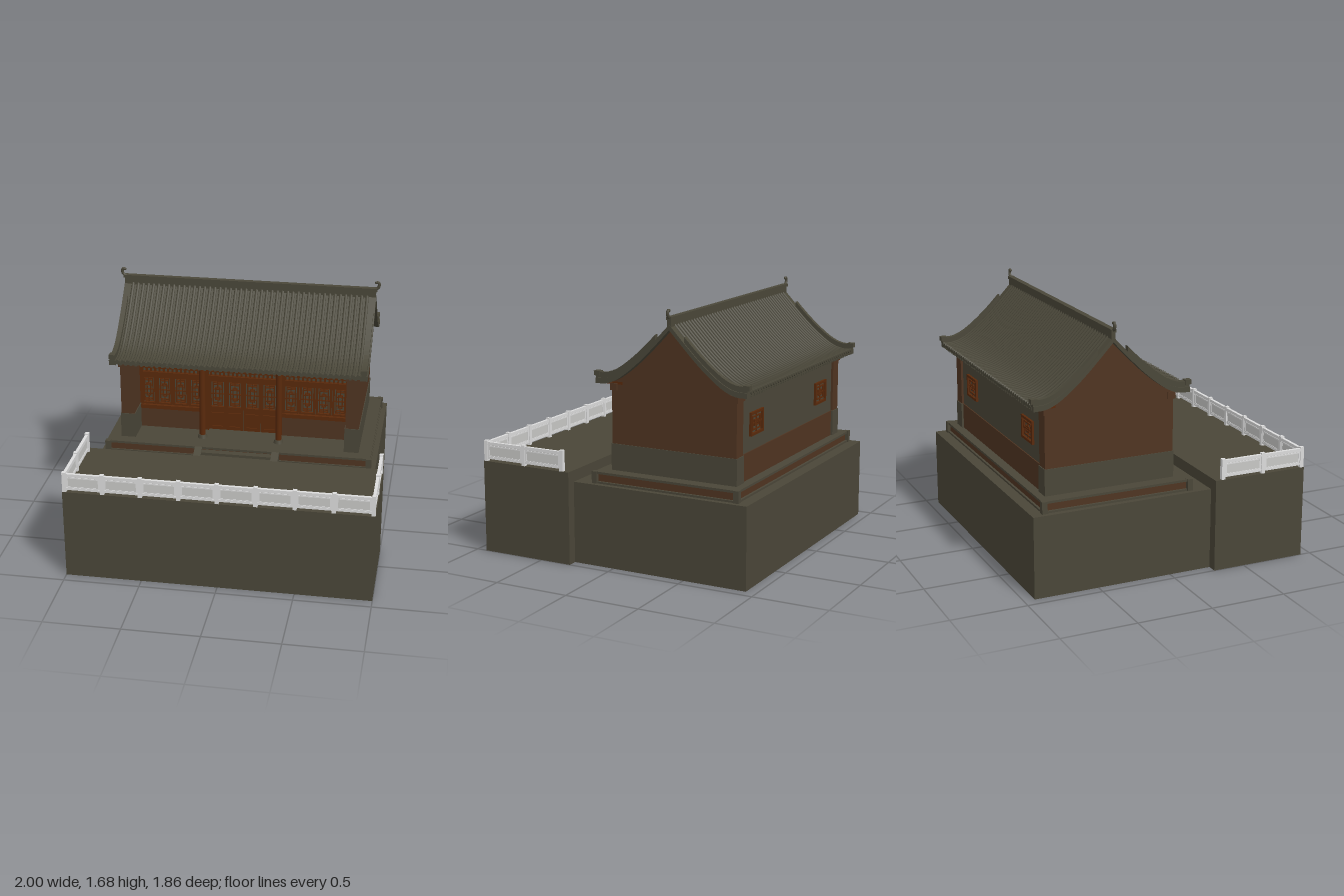
import * as THREE from 'three';

const material = (name, color, extra) => Object.assign(new THREE.MeshStandardMaterial({ color, ...extra }), { name });

export function createModel() {
  const root = new THREE.Group();
  root.name = 'courtyardHall';
  const stone = material('olive grey stone', 0x4a4638);
  const tile = material('grey roof tile', 0x4a4739);
  const clay = material('brown wall', 0x4f3421);
  const wood = material('red brown wood', 0x59290b);
  const marble = material('white marble', 0xdcdcdc);
  const marblePanel = material('pale marble panel', 0xc8c8c6);

  const group = (name, parent = root) => {
    const g = new THREE.Group();
    g.name = name;
    parent.add(g);
    return g;
  };
  const add = (parent, name, geo, mat) => {
    const m = new THREE.Mesh(geo, mat);
    m.name = name;
    parent.add(m);
    return m;
  };
  // Box given by its two extremes on each axis
  const box = (parent, name, mat, x0, x1, y0, y1, z0, z1) =>
    add(parent, name, new THREE.BoxGeometry(x1 - x0, y1 - y0, z1 - z0), mat)
      .position.set((x0 + x1) / 2, (y0 + y1) / 2, (z0 + z1) / 2);
  // Side profile of [z, y] points extruded from x0 to x1
  const sideProfile = (parent, name, mat, pts, x0, x1) => {
    const shape = new THREE.Shape(pts.map(p => new THREE.Vector2(p[0], p[1])));
    const geo = new THREE.ExtrudeGeometry(shape, { depth: x1 - x0, bevelEnabled: false });
    geo.rotateY(-Math.PI / 2).translate(x1, 0, 0);
    return add(parent, name, geo, mat);
  };

  // Lower masses
  box(root, 'frontTerrace', stone, -1, 1, 0, 0.61, 0.285, 0.93);
  box(root, 'rearBase', stone, -0.935, 0.935, 0, 0.535, -0.93, 0.285);

  // Plinth with cornerposts and capping slab
  const plinth = group('plinth');
  box(plinth, 'plinthSill', stone, -0.9, 0.9, 0.535, 0.548, -0.855, 0.15);
  box(plinth, 'plinthCore', clay, -0.885, 0.885, 0.54, 0.6, -0.84, 0.14);
  box(plinth, 'plinthSlab', stone, -0.9, 0.9, 0.597, 0.612, -0.855, 0.155);
  for (const x of [-0.89, 0.89]) for (const z of [-0.843, 0.15])
    box(plinth, 'plinthPost', stone, x - 0.018, x + 0.018, 0.535, 0.613, z - 0.018, z + 0.018);

  // Steps between sloping cheeks
  const steps = group('steps');
  for (let i = 0; i < 3; i++)
    box(steps, 'step', stone, -0.24, 0.24, 0.535, 0.592 - i * 0.019, 0.15, 0.198 + i * 0.043);
  for (const x of [-0.262, 0.262])
    sideProfile(steps, 'stepCheek', stone, [[0.15, 0.535], [0.285, 0.535], [0.285, 0.545], [0.155, 0.613], [0.15, 0.613]], x - 0.025, x + 0.025);

  // Balustrade: one bay runs along local +x from the origin
  const balustrade = group('balustrade');
  const railBay = (x, z, len, turn) => {
    const g = group('railBay', balustrade);
    g.position.set(x, 0.61, z);
    g.rotation.y = turn;
    box(g, 'topRail', marble, 0, len, 0.108, 0.128, -0.01, 0.01);
    box(g, 'bottomRail', marble, 0, len, 0.015, 0.03, -0.009, 0.009);
    box(g, 'railPanel', marblePanel, 0.01, len - 0.01, 0.028, 0.11, -0.004, 0.004);
    for (const s of [0.018, len - 0.018]) box(g, 'panelStile', marble, s - 0.007, s + 0.007, 0.028, 0.11, -0.007, 0.007);
    for (const y of [0.033, 0.1]) box(g, 'panelEdge', marble, 0.02, len - 0.02, y - 0.004, y + 0.004, -0.007, 0.007);
  };
  const railPost = (x, z) => box(balustrade, 'railPost', marble, x - 0.013, x + 0.013, 0.61, 0.747, z - 0.013, z + 0.013);
  const bay = 1.97 / 8;
  for (let i = 0; i <= 8; i++) {
    railPost(-0.985 + i * bay, 0.915);
    if (i < 8) railBay(-0.985 + i * bay, 0.915, bay, 0);
  }
  for (const x of [-0.985, 0.985]) for (const z of [0.915, 0.6275]) {
    railPost(x, z - 0.2875);
    railBay(x, z, 0.2875, Math.PI / 2);
  }

  // Roof curve: height by distance from the ridge line
  const ridgeZ = -0.365;
  const slope = [[0, 1.57], [0.1, 1.465], [0.2, 1.365], [0.3, 1.28], [0.38, 1.226], [0.45, 1.2], [0.525, 1.197]];
  const curve = new THREE.CatmullRomCurve3(slope.map(([d, y]) => new THREE.Vector3(0, y, d)));
  const samples = curve.getPoints(18);
  // Strip following the slope between two heights above the curve
  const slopeBand = (lo, hi, from = 0, to = 0.53) => {
    const pts = samples.filter(p => p.z >= from && p.z <= to);
    return [...pts.map(p => [p.z, p.y + lo]), ...pts.reverse().map(p => [p.z, p.y + hi])];
  };

  // Gable side walls with stone base and pier caps
  const walls = group('walls');
  const wallTop = samples.filter(p => p.z < 0.42).map(p => [p.z, p.y - 0.012]);
  const gable = [
    [-0.8, 0.78], [0.07, 0.78], [0.07, 1.185],
    ...wallTop.slice().reverse().map(([d, y]) => [ridgeZ + d, y]),
    ...wallTop.slice(1).map(([d, y]) => [ridgeZ - d, y]), [-0.8, 1.185],
  ];
  for (const s of [-1, 1]) {
    const span = (a, b) => [Math.min(s * a, s * b), Math.max(s * a, s * b)];
    sideProfile(walls, 'gableWall', clay, gable, ...span(0.72, 0.81));
    box(walls, 'gableBase', stone, ...span(0.715, 0.815), 0.61, 0.785, -0.805, 0.075);
    for (const z of [0.055, -0.785]) {
      box(walls, 'pierCap', clay, ...span(0.712, 0.82), 1.13, 1.175, z - 0.025, z + 0.025);
    }
  }

  // Rear wall with two lattice windows
  box(walls, 'rearWall', stone, -0.73, 0.73, 0.78, 1.2, -0.785, -0.74);
  box(walls, 'rearDado', clay, -0.73, 0.73, 0.61, 0.785, -0.792, -0.74);

  // Rectangular outline of thin bars
  const frame = (parent, name, mat, cx, cy, w, h, t, z0, z1) => {
    for (const s of [-1, 1]) {
      const x = cx + s * (w - t) / 2, y = cy + s * (h - t) / 2;
      box(parent, name, mat, x - t / 2, x + t / 2, cy - h / 2, cy + h / 2, z0, z1);
      box(parent, name, mat, cx - w / 2, cx + w / 2, y - t / 2, y + t / 2, z0, z1);
    }
  };
  for (const x of [-0.51, 0.51]) {
    const win = group('rearWindow', walls);
    frame(win, 'windowFrame', wood, x, 0.955, 0.185, 0.15, 0.016, -0.8, -0.78);
    frame(win, 'windowLattice', wood, x, 0.955, 0.12, 0.09, 0.009, -0.794, -0.78);
    frame(win, 'windowLattice', wood, x, 0.955, 0.06, 0.04, 0.009, -0.794, -0.78);
    box(win, 'windowBar', wood, x - 0.085, x + 0.085, 0.951, 0.959, -0.793, -0.78);
    box(win, 'windowBar', wood, x - 0.004, x + 0.004, 0.885, 1.025, -0.793, -0.78);
  }

  // Recessed timber front: three bays of lattice panels
  const front = group('timberFront');
  box(front, 'frontBacking', stone, -0.72, 0.72, 0.61, 1.28, -0.17, -0.145);
  const latticePanel = (x, y0, y1, w) => {
    const g = group('latticePanel', front);
    const cy = (y0 + y1) / 2, h = y1 - y0;
    frame(g, 'panelFrame', wood, x, cy, w, h, 0.014, -0.15, -0.125);
    frame(g, 'latticeRing', wood, x, cy, w * 0.6, h * 0.8, 0.007, -0.147, -0.132);
    frame(g, 'latticeRing', wood, x, cy, w * 0.3, h * 0.45, 0.007, -0.147, -0.132);
    for (const k of [-0.32, -0.15, 0, 0.15, 0.32])
      box(g, 'latticeBar', wood, x - w * (k ? 0.3 : 0.45), x + w * (k ? 0.3 : 0.45), cy + k * h - 0.003, cy + k * h + 0.003, -0.147, -0.133);
    for (const s of [-1, 1])
      box(g, 'latticeBar', wood, x - 0.003, x + 0.003, cy + s * h * 0.35 - h * 0.13, cy + s * h * 0.35 + h * 0.13, -0.147, -0.133);
  };
  for (const cx of [-0.495, 0, 0.495]) {
    const half = cx ? 0.225 : 0.24, w = half / 2;
    for (let i = 0; i < 4; i++) {
      const x = cx - half + w * (i + 0.5);
      latticePanel(x, 0.775, 0.99, w - 0.004);
      if (!cx) {
        box(front, 'doorPanel', wood, x - w / 2 + 0.002, x + w / 2 - 0.002, 0.615, 0.775, -0.15, -0.13);
        frame(front, 'doorMoulding', wood, x, 0.69, w - 0.03, 0.11, 0.008, -0.14, -0.122);
      }
    }
    if (cx) {
      box(front, 'windowDado', clay, cx - half, cx + half, 0.61, 0.755, -0.15, -0.11);
      box(front, 'windowSill', wood, cx - half, cx + half, 0.75, 0.777, -0.15, -0.105);
    }
    // Transom grid under a stepped crest
    box(front, 'transomRail', wood, cx - half, cx + half, 0.99, 1.02, -0.15, -0.12);
    box(front, 'transomRail', wood, cx - half, cx + half, 1.045, 1.055, -0.15, -0.125);
    for (let x = -half + 0.015; x < half; x += 0.03)
      box(front, 'transomBar', wood, cx + x - 0.006, cx + x + 0.006, 1.02, 1.047, -0.15, -0.13);
    [0.21, 0.165, 0.115].forEach((r, i) =>
      box(front, 'steppedCrest', wood, cx - r, cx + r, 1.05 + i * 0.014, 1.067 + i * 0.014, -0.15, -0.125));
  }
  for (const x of [-0.72, -0.262, 0.262, 0.72])
    box(front, 'frontMullion', wood, x - 0.022, x + 0.022, 0.61, 1.2, -0.155, -0.115);

  // Porch columns and eave beams
  const porch = group('porch');
  for (const x of [-0.262, 0.262]) {
    add(porch, 'porchColumn', new THREE.CylinderGeometry(0.021, 0.021, 0.57, 16), wood).position.set(x, 0.905, 0);
    add(porch, 'columnBase', new THREE.CylinderGeometry(0.026, 0.034, 0.025, 16), stone).position.set(x, 0.623, 0);
  }
  box(porch, 'porchBeam', wood, -0.72, 0.72, 1.155, 1.2, -0.02, 0.025);
  box(porch, 'rearBeam', wood, -0.72, 0.72, 1.165, 1.19, -0.8, -0.77);

  // Roof: each slope is built facing +z from the ridge, then mirrored by a half turn
  const roof = group('roof');
  for (const turn of [0, Math.PI]) {
    const half = group(turn ? 'rearSlope' : 'frontSlope', roof);
    half.position.z = ridgeZ;
    half.rotation.y = turn;
    sideProfile(half, 'roofDeck', tile, slopeBand(-0.014, 0.008), -0.86, 0.86);
    const rows = 46, pitch = 1.64 / rows;
    for (let i = 0; i < rows; i++) {
      const x = -0.82 + (i + 0.5) * pitch;
      const path = new THREE.CatmullRomCurve3(slope.map(([d, y]) => new THREE.Vector3(x, y + 0.009, d)));
      add(half, 'tileRow', new THREE.TubeGeometry(path, 12, 0.0105, 6), tile);
      const end = add(half, 'eaveTile', new THREE.CylinderGeometry(0.0125, 0.0125, 0.014, 8), tile);
      end.rotation.x = Math.PI / 2;
      end.position.set(x, 1.206, 0.525);
      box(half, 'dripTile', tile, x + pitch / 2 - 0.008, x + pitch / 2 + 0.008, 1.177, 1.2, 0.515, 0.527);
      if (i % 2) box(half, 'rafter', wood, x - 0.008, x + 0.008, 1.168, 1.185, 0.36, 0.49);
    }
    for (const x of [-0.838, 0.838]) {
      sideProfile(half, 'vergeRidge', tile, slopeBand(0.005, 0.048, 0.09), x - 0.016, x + 0.016);
      box(half, 'vergeEnd', tile, x - 0.02, x + 0.02, 1.222, 1.252, 0.495, 0.538);
      sideProfile(half, 'vergeBoard', tile, slopeBand(-0.022, 0.012), x - 0.024, x + 0.024);
    }
  }

  // Main ridge with curled ends
  box(roof, 'mainRidge', tile, -0.86, 0.86, 1.56, 1.615, ridgeZ - 0.013, ridgeZ + 0.013);
  box(roof, 'ridgeCap', tile, -0.868, 0.868, 1.61, 1.63, ridgeZ - 0.018, ridgeZ + 0.018);
  for (const s of [-1, 1]) {
    const curl = [[0.845, 1.62], [0.87, 1.63], [0.879, 1.65], [0.874, 1.67], [0.86, 1.668]];
    const path = new THREE.CatmullRomCurve3(curl.map(([x, y]) => new THREE.Vector3(s * x, y, ridgeZ)));
    add(roof, 'ridgeFinial', new THREE.TubeGeometry(path, 14, 0.01, 8), tile);
    add(roof, 'finialTip', new THREE.SphereGeometry(0.01, 8, 6), tile).position.set(s * 0.86, 1.668, ridgeZ);
  }
  return root;
}
